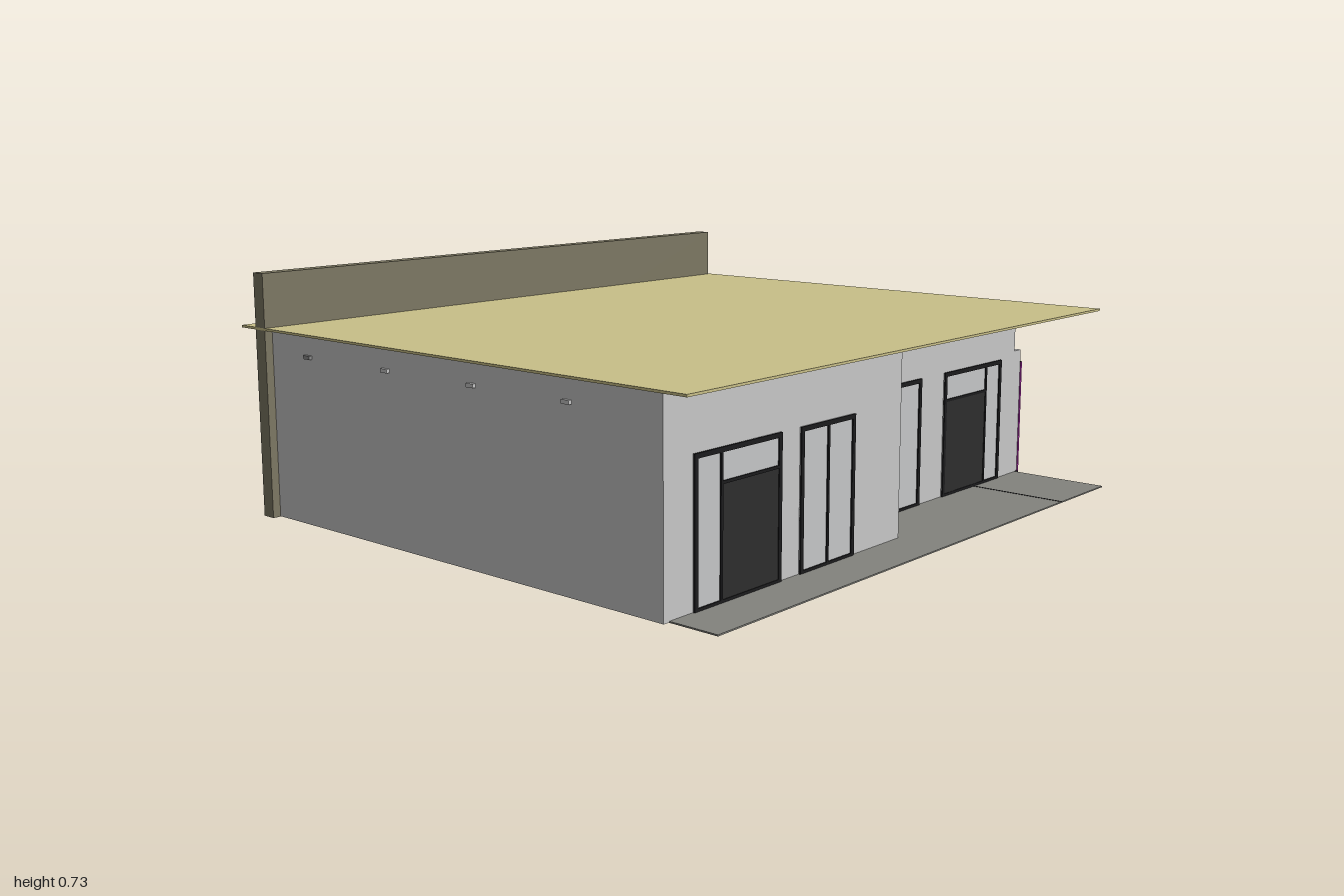
import * as THREE from 'three';

const material = (name, color) => {
  const m = new THREE.MeshStandardMaterial({ color });
  m.name = name;
  return m;
};

export function createModel() {
  const wall = material('light grey wall', 0xc8c8c8);
  const glass = material('pale glass', 0xc6c7c8);
  const clad = material('dark olive cladding', 0x7d7863);
  const roofing = material('sand roof', 0xc9c089);
  const paving = material('grey floor', 0x83837e);
  const magenta = material('magenta panel', 0xbf35bf);
  const frame = material('black frame', 0x1b1b1d);
  const door = material('charcoal door', 0x2d2d2d);
  const lampGrey = material('lamp grey', 0x8c8c8c);

  const model = new THREE.Group();
  model.name = 'building';

  // Box given by its lower and upper limits on each axis
  function block(name, mat, [x0, x1], [y0, y1], [z0, z1], parent = model) {
    const mesh = new THREE.Mesh(new THREE.BoxGeometry(x1 - x0, y1 - y0, z1 - z0), mat);
    mesh.position.set((x0 + x1) / 2, (y0 + y1) / 2, (z0 + z1) / 2);
    mesh.name = name;
    parent.add(mesh);
    return mesh;
  }

  // Floor, main volumes, roof and tall side wall
  block('floorSlab', paving, [-0.82, 0.895], [0, 0.004], [-0.96, 0.955]);
  block('floorJoint', frame, [0.58, 0.895], [0.004, 0.005], [-0.692, -0.687]);
  block('frontHall', wall, [-0.79, 0.745], [0.001, 0.56], [-0.015, 0.975]);
  block('rearHallLower', wall, [-0.79, 0.58], [0.001, 0.413], [-0.97, -0.015]);
  block('rearHallUpper', wall, [-0.79, 0.58], [0.413, 0.56], [-0.93, -0.015]);
  block('roof', roofing, [-0.9, 0.84], [0.56, 0.567], [-1, 1]);
  block('tallSideWall', clad, [-0.83, -0.785], [0, 0.727], [-0.988, 1]);

  // Coloured rear cladding with its door joint and edge trims
  block('rearPanel', magenta, [-0.75, 0.583], [0.006, 0.372], [-0.976, -0.969]);
  block('rearPanelTopTrim', frame, [-0.75, 0.583], [0.372, 0.375], [-0.974, -0.969]);
  block('rearDoorJoint', frame, [-0.563, -0.557], [0.006, 0.372], [-0.978, -0.97]);
  block('rearPanelBase', frame, [-0.785, 0.583], [0, 0.006], [-0.976, -0.958]);

  // Framed opening on a side wall: x is the wall face, dir the way it looks
  function opening(name, { x, dir, z, y, bars = [], panel, width = 0.013 }) {
    const g = new THREE.Group();
    g.name = name;
    const span = (d) => (dir > 0 ? [x - 0.002, x + d] : [x - d, x + 0.002]);
    const [z0, z1] = z, [y0, y1] = y;
    block('pane', glass, span(0.002), y, z, g);
    for (const c of [z0 + width / 2, z1 - width / 2, ...bars]) {
      const half = bars.includes(c) ? 0.004 : width / 2;
      block('upright', frame, span(0.006), y, [c - half, c + half], g);
    }
    block('headRail', frame, span(0.006), [y1 - width, y1], z, g);
    block('sillRail', frame, span(0.006), [y0, y0 + width * 0.6], z, g);
    if (panel) {
      block('doorLeaf', door, span(0.004), [y0, 0.307], panel, g);
      block('doorRail', frame, span(0.006), [0.303, 0.311], panel, g);
    }
    model.add(g);
  }

  // Entrances on the right-hand side in the plan, stepped with the wall
  const tall = [0.004, 0.395];
  const front = { x: 0.745, dir: 1, y: tall };
  const rear = { x: 0.58, dir: 1, y: tall };
  opening('frontEntrance', { ...front, z: [0.53, 0.87], bars: [0.768], panel: [0.53, 0.768] });
  opening('frontGlazedDoor', { ...front, z: [0.21, 0.45], bars: [0.33] });
  opening('rearGlazedDoor', { ...rear, z: [-0.37, -0.125], bars: [-0.246] });
  opening('rearEntrance', { ...rear, z: [-0.84, -0.5], bars: [-0.746], panel: [-0.746, -0.5] });

  // Windows along the tall clad wall: z range, y range, bar
  const windows = [
    [[-0.92, -0.73], [0.07, 0.385], [-0.80]],
    [[-0.56, -0.30], [0.015, 0.35], [-0.41, -0.36]],
    [[-0.12, -0.04], [0.065, 0.305], []],
    [[0.14, 0.315], [0.07, 0.465], [0.275]],
    [[0.54, 0.795], [0.06, 0.43], [0.70, 0.745]],
  ];
  windows.forEach(([z, y, bars], i) =>
    opening('sideWindow' + (i + 1), { x: -0.83, dir: -1, z, y, bars, width: 0.02 }));

  // Twin lamps: a bracket with two round heads
  function lamp(x, z, dir, depth) {
    const g = new THREE.Group();
    g.name = 'wallLamp';
    block('bracket', wall, [-0.012, 0.012], [-0.005, 0.005], [-0.004, depth * 0.7], g);
    for (const s of [-1, 1]) {
      const r = depth * 0.48;
      const head = new THREE.Mesh(new THREE.CylinderGeometry(r, r, 0.012, 12), lampGrey);
      head.position.set(s * 0.021, 0, depth / 2);
      head.name = 'lampHead';
      g.add(head);
    }
    g.position.set(x, 0.497, z);
    g.scale.z = dir;
    if (dir < 0) g.scale.x = -1;
    model.add(g);
  }
  for (let i = 0; i < 4; i++) {
    lamp(0.455 - i * 0.348, -0.93, -1, 0.038);
    block('frontLamp', i === 3 ? lampGrey : wall,
      [0.42 - i * 0.348, 0.447 - i * 0.348], [0.492, 0.503], [0.97, 0.985]);
  }

  return model;
}
